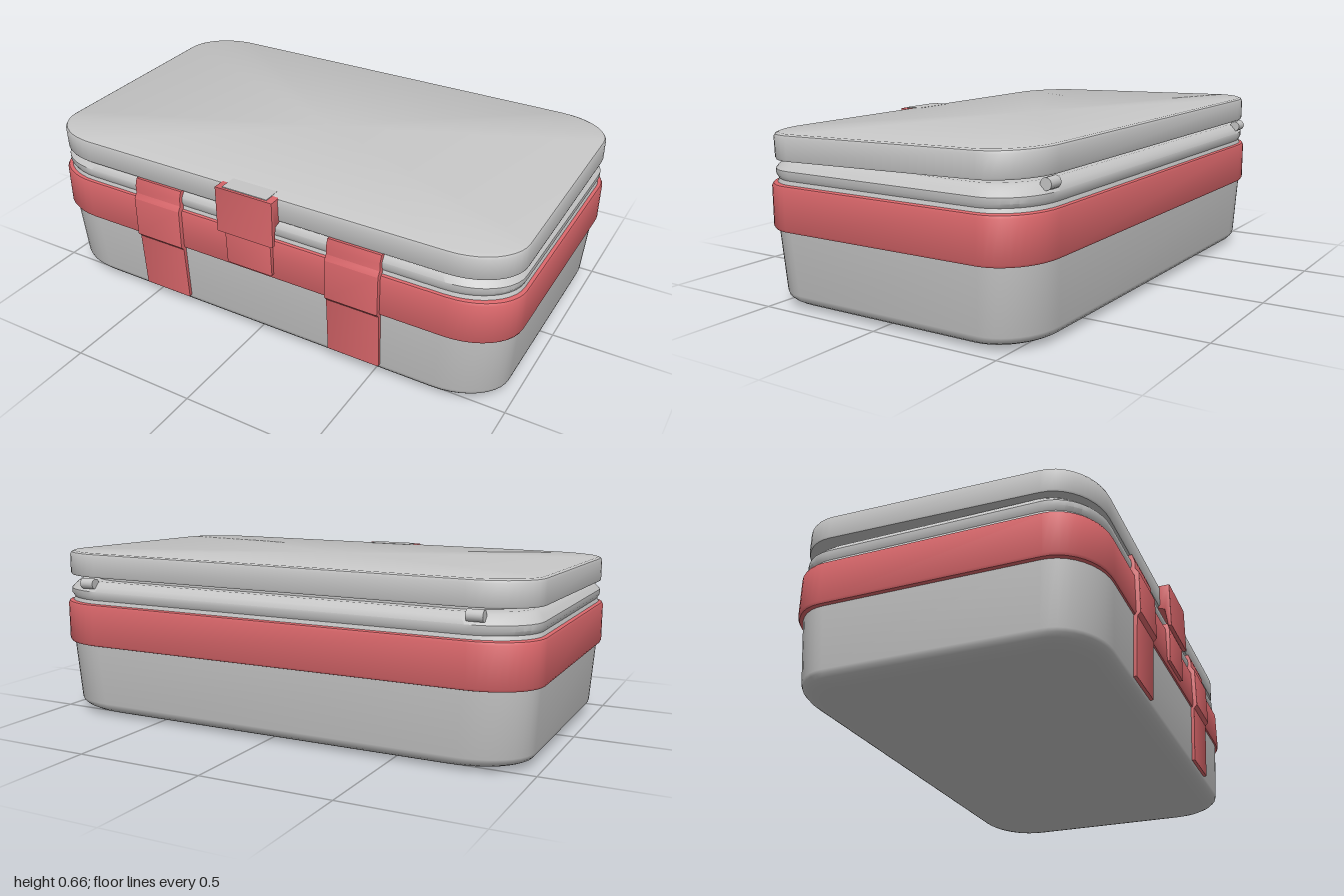
import * as THREE from 'three';
import { toCreasedNormals } from 'three/addons/utils/BufferGeometryUtils.js';

const grey = new THREE.MeshStandardMaterial({ color: 0xc6c6c6 });
grey.name = 'grey plastic';
const red = new THREE.MeshStandardMaterial({ color: 0xd9666a });
red.name = 'red trim';

const CZ = -0.015; // depth centre of the box

// Stack of rounded rectangles [y, halfWidth, halfDepth], capped at both ends
function loft(sections, cornerX = 0.22, cornerZ = 0.17, steps = 10) {
  const pos = [], idx = [];
  const ringSize = 4 * (steps + 1);
  for (const [y, hx, hz] of sections) {
    for (let c = 0; c < 4; c++) {
      const sx = c === 0 || c === 3 ? 1 : -1, sz = c < 2 ? 1 : -1;
      for (let i = 0; i <= steps; i++) {
        const a = (c + i / steps) * Math.PI / 2;
        pos.push(
          sx * (hx - cornerX) + Math.cos(a) * cornerX, y,
          sz * (hz - cornerZ) + Math.sin(a) * cornerZ);
      }
    }
  }
  const last = sections.length - 1;
  const low = pos.length / 3, high = low + 1;
  pos.push(0, sections[0][0], 0, 0, sections[last][0], 0);
  for (let i = 0; i < ringSize; i++) {
    const j = (i + 1) % ringSize;
    for (let s = 0; s < last; s++) {
      const a = s * ringSize + i, b = s * ringSize + j;
      const c = a + ringSize, d = b + ringSize;
      idx.push(a, c, b, b, c, d);
    }
    idx.push(low, i, j, high, last * ringSize + j, last * ringSize + i);
  }
  const g = new THREE.BufferGeometry();
  g.setAttribute('position', new THREE.Float32BufferAttribute(pos, 3));
  g.setIndex(idx);
  return toCreasedNormals(g, 0.6);
}

// Side profile of [z, y] points, extruded across x and centred on it
function profile(points, width, bevel = 0.005) {
  const shape = new THREE.Shape(points.map(([z, y]) => new THREE.Vector2(z, y)));
  const g = new THREE.ExtrudeGeometry(shape, {
    depth: width - 2 * bevel, bevelSize: bevel, bevelThickness: bevel,
    bevelOffset: -bevel, bevelSegments: 2,
  });
  g.translate(0, 0, -width / 2 + bevel);
  g.rotateY(-Math.PI / 2);
  return toCreasedNormals(g, 0.6);
}

export function createModel() {
  const model = new THREE.Group();
  model.name = 'lunchBox';
  const add = (name, geometry, material, x = 0, y = 0, z = 0, parent = model) => {
    const mesh = new THREE.Mesh(geometry, material);
    mesh.name = name;
    mesh.position.set(x, y, z);
    parent.add(mesh);
    return mesh;
  };

  // Tapered tub with a rounded bottom edge
  const tub = [];
  for (let i = 0; i <= 6; i++) {
    const a = i / 6 * Math.PI / 2;
    const inset = 0.1 * (1 - Math.sin(a));
    tub.push([0.05 * (1 - Math.cos(a)), 0.965 - inset, 0.56 - inset]);
  }
  tub.push([0.3, 0.982, 0.572]);
  add('tub', loft(tub), grey, 0, 0, CZ);

  // Band around the tub
  add('band', loft([
    [0.285, 0.985, 0.568], [0.288, 0.994, 0.577], [0.297, 0.998, 0.581],
    [0.443, 0.998, 0.581], [0.452, 0.994, 0.577], [0.456, 0.985, 0.568],
  ]), red, 0, 0, CZ);

  // Ridged rim under the lid
  add('rim', loft([
    [0.45, 0.984, 0.57], [0.47, 0.978, 0.564], [0.485, 0.985, 0.571],
    [0.505, 0.985, 0.571], [0.522, 0.972, 0.56], [0.537, 0.958, 0.547],
    [0.542, 0.945, 0.535], [0.542, 0.91, 0.5], [0.565, 0.91, 0.5],
  ]), grey, 0, 0, CZ);

  // Lid, slightly higher at the back
  const lid = new THREE.Group();
  lid.name = 'lidGroup';
  lid.position.set(0, 0.596, CZ);
  lid.rotation.x = 0.022;
  model.add(lid);
  add('lid', loft([
    [-0.048, 0.975, 0.557], [-0.047, 0.986, 0.568], [-0.04, 0.988, 0.571],
    [0.034, 0.988, 0.572], [0.043, 0.984, 0.568], [0.048, 0.975, 0.559],
  ]), grey, 0, 0, 0, lid);

  // Reinforcing straps on the front
  const strapShape = [
    [0.52, 0.05], [0.558, 0.05], [0.57, 0.28], [0.583, 0.295], [0.583, 0.455],
    [0.57, 0.475], [0.57, 0.505], [0.56, 0.535], [0.52, 0.535],
  ];
  for (const side of [-1, 1]) {
    add('strap', profile(strapShape, 0.215), red, side * 0.425);
    // Hinge pegs at the back
    const peg = new THREE.CylinderGeometry(0.021, 0.021, 0.06, 16);
    peg.rotateZ(Math.PI / 2);
    add('hingePeg', peg, grey, side * 0.8, 0.535, -0.574);
  }

  // Front latch, the tab it closes over, and its catch
  add('latch', profile([
    [0.545, 0.53], [0.572, 0.52], [0.582, 0.445], [0.597, 0.445],
    [0.597, 0.63], [0.545, 0.63],
  ], 0.245), red, -0.007);
  add('latchTab', new THREE.BoxGeometry(0.19, 0.06, 0.07), grey, -0.007, 0.603, 0.552);
  add('catch', profile([
    [0.54, 0.305], [0.578, 0.305], [0.583, 0.44], [0.575, 0.47], [0.54, 0.47],
  ], 0.2), red, -0.005);

  return model;
}
